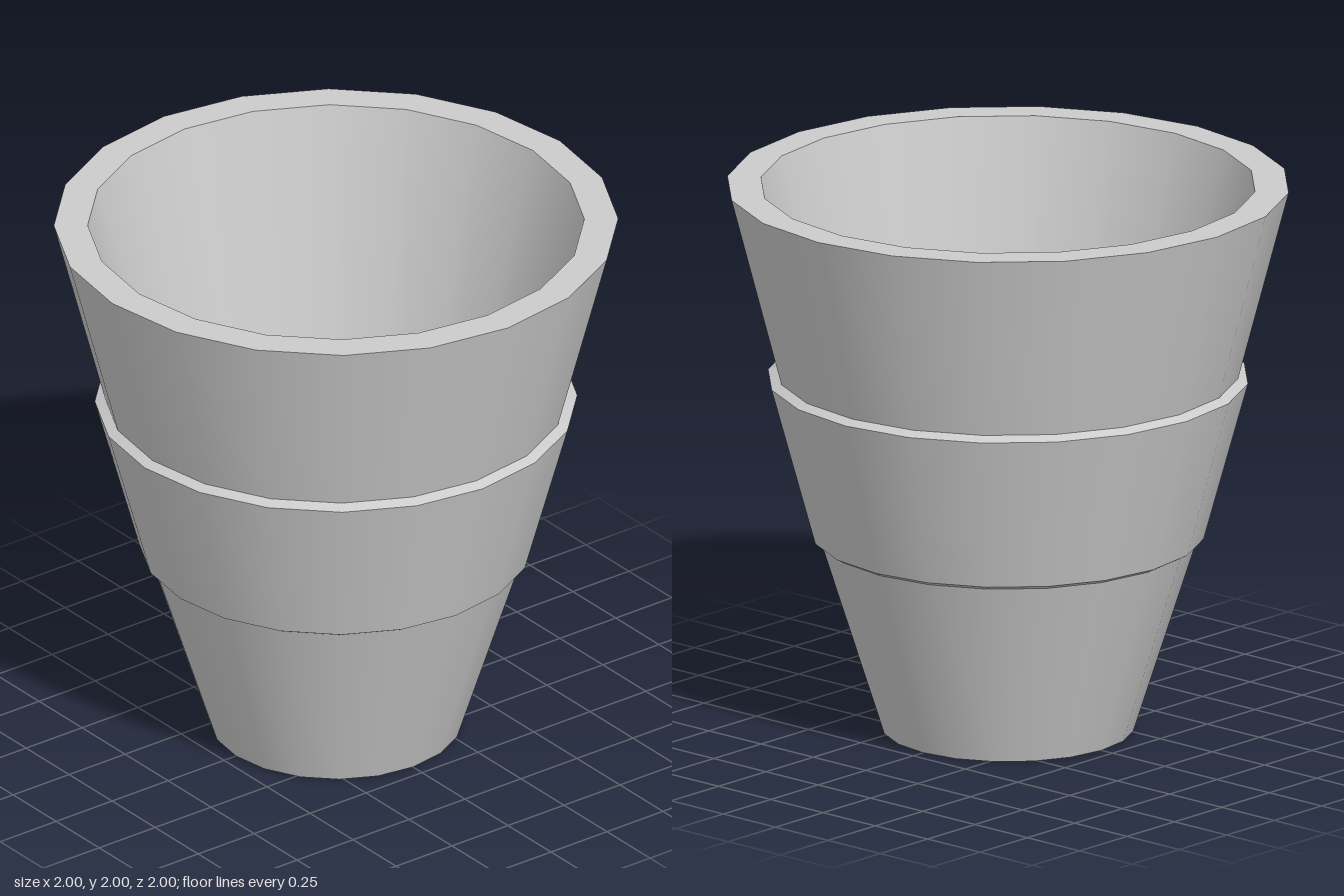
import * as THREE from 'three';

const SIDES = 20;
const material = new THREE.MeshStandardMaterial({ color: 0xcccccc });

// One smooth ring of the cup; edges between rings stay sharp.
function ring(name, ...profile) {
  const points = profile.map(([r, y]) => new THREE.Vector2(r, y));
  const mesh = new THREE.Mesh(new THREE.LatheGeometry(points, SIDES), material);
  mesh.name = name;
  return mesh;
}

export function createModel() {
  // Profile corners as [radius, height]
  const base = [0.447, 0];
  const sleeveFoot = [0.67, 0.7];
  const sleeveBottom = [0.697, 0.715];
  const sleeveTop = [0.855, 1.292];
  const sleeveHead = [0.82, 1.31];
  const rimOuter = [1, 2];
  const rimInner = [0.88, 2];
  const floorEdge = [0.478, 0.45];

  const cup = new THREE.Group();
  cup.name = 'cup';
  cup.add(
    // Outside, from the base upwards
    ring('base', [0, 0], base),
    ring('lowerWall', base, sleeveFoot),
    ring('sleeveLowerEdge', sleeveFoot, sleeveBottom),
    ring('sleeve', sleeveBottom, sleeveTop),
    ring('sleeveUpperEdge', sleeveTop, sleeveHead),
    ring('upperWall', sleeveHead, rimOuter),
    // Rim and hollow inside
    ring('rim', rimOuter, rimInner),
    ring('innerWall', rimInner, floorEdge),
    ring('innerFloor', floorEdge, [0, floorEdge[1]]),
  );
  return cup;
}
